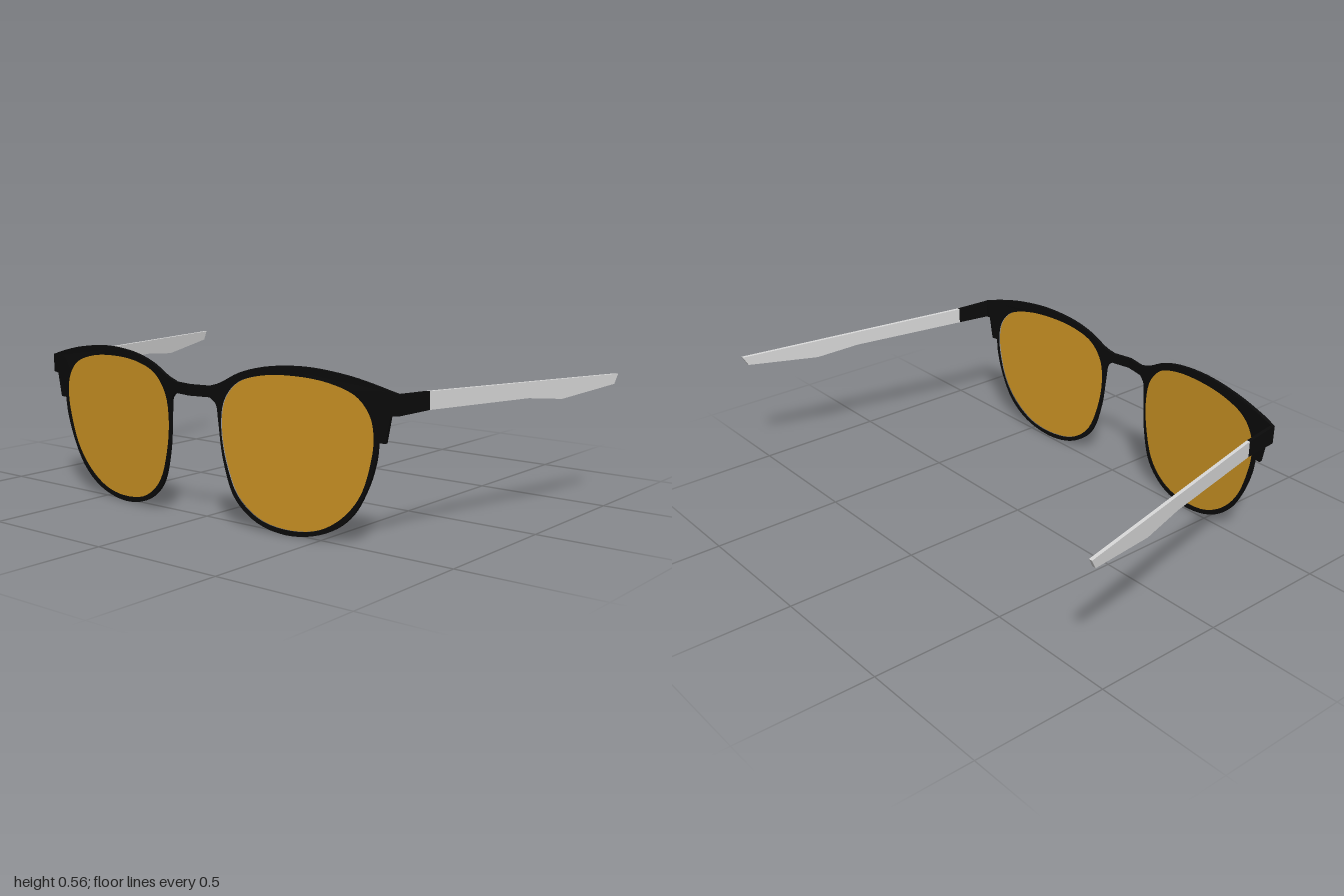
import * as THREE from 'three';
import { toCreasedNormals } from 'three/addons/utils/BufferGeometryUtils.js';

const frameMat = new THREE.MeshStandardMaterial({ color: 0x0b0b0b });
frameMat.name = 'black frame';
const lensMat = new THREE.MeshStandardMaterial({ color: 0xcf9524 });
lensMat.name = 'amber lens';
const templeMat = new THREE.MeshStandardMaterial({ color: 0xdadada });
templeMat.name = 'light grey temple';

// Smooth run of points through a few [x, y] pairs
const spline = (pairs, n, closed = false) =>
  new THREE.CatmullRomCurve3(pairs.map(([x, y]) => new THREE.Vector3(x, y, 0)), closed, 'centripetal')
    .getPoints(n).slice(0, closed ? n : n + 1).map(p => [p.x, p.y]);

// Piecewise linear lookup in a list of [key, value] pairs with rising keys
function lookup(table, k) {
  let i = 1;
  while (i < table.length - 1 && k > table[i][0]) i++;
  const [k0, v0] = table[i - 1], [k1, v1] = table[i];
  return v0 + (v1 - v0) * (k - k0) / (k1 - k0);
}

// Extrudes an outline, then moves each vertex by a rule
function plate(points, hole, depth, rule) {
  const vec = list => list.map(([x, y]) => new THREE.Vector2(x, y));
  const shape = new THREE.Shape(vec(points));
  if (hole) shape.holes.push(new THREE.Path(vec(hole)));
  const geo = new THREE.ExtrudeGeometry(shape, { depth, bevelEnabled: false, steps: 1 });
  const pos = geo.attributes.position;
  for (let i = 0; i < pos.count; i++) {
    pos.setXYZ(i, ...rule(pos.getX(i), pos.getY(i), pos.getZ(i) - depth / 2));
  }
  return toCreasedNormals(geo, 0.6);
}

// Sweep of the front: ridge at the bridge, swept back to the hinges, leaning forward at the top
const sweep = [[0, 0.575], [0.1, 0.555], [0.75, 0.493], [0.79, 0.484]];
const bend = (x, y, d) => [x, y, lookup(sweep, Math.abs(x)) + 0.03 * (y - 0.45) + d];

// Half of the front: brow line, end piece, rim, bridge
const brow = spline([[0.075, 0.474], [0.12, 0.488], [0.2, 0.528], [0.3, 0.555], [0.45, 0.566],
  [0.6, 0.552], [0.7, 0.531], [0.79, 0.506]], 36);
const rim = spline([[0.718, 0.35], [0.71, 0.29], [0.68, 0.2], [0.62, 0.1], [0.53, 0.035], [0.39, 0.004],
  [0.26, 0.028], [0.17, 0.1], [0.125, 0.23], [0.11, 0.36], [0.102, 0.415], [0.08, 0.436]], 60);
const halfFront = [[0, 0.474], ...brow, [0.79, 0.44], [0.762, 0.438], [0.745, 0.35], ...rim, [0, 0.436]];
const lensOutline = spline([[0.704, 0.36], [0.692, 0.28], [0.655, 0.175], [0.59, 0.095], [0.5, 0.04],
  [0.39, 0.022], [0.27, 0.042], [0.185, 0.108], [0.139, 0.22], [0.122, 0.34], [0.137, 0.43],
  [0.19, 0.493], [0.285, 0.525], [0.42, 0.534], [0.55, 0.521], [0.645, 0.487], [0.692, 0.43]], 72, true);

// Side profiles as [z, y]
const hingeProfile = [[0.49, 0.506], [0.345, 0.501], [0.345, 0.442], [0.49, 0.439]];
const templeProfile = [[0.345, 0.501], [-0.58, 0.472], [-0.56, 0.437], [-0.28, 0.412], [-0.11, 0.432], [0.345, 0.442]];
const splay = [[-0.58, 0.991], [0.345, 0.799], [0.49, 0.782]];

export function createModel() {
  const model = new THREE.Group();
  model.name = 'sunglasses';
  const add = (name, geo, mat) => {
    const mesh = new THREE.Mesh(geo, mat);
    mesh.name = name;
    model.add(mesh);
  };
  for (const s of [1, -1]) {
    const side = s > 0 ? 'left' : 'right';
    const mirror = list => list.map(([x, y]) => [s * x, y]);

    // Front frame half and its lens
    add(side + 'FrontFrame', plate(mirror(halfFront), mirror(lensOutline), 0.012, bend), frameMat);
    add(side + 'Lens', plate(mirror(lensOutline), null, 0.004, bend), lensMat);

    // Hinge arm and temple; the right temple sits slightly higher at its tip
    const lift = s > 0 ? 0 : 0.02;
    const arm = profile => plate(profile.map(([z, y]) => [-s * z, y]), null, 0.013, (px, y, d) => {
      const z = -s * px;
      const back = Math.max(0, (0.345 - z) / 0.925);
      return [s * (lookup(splay, z) + d), y + lift * back, z + lift * back];
    });
    add(side + 'HingeArm', arm(hingeProfile), frameMat);
    add(side + 'Temple', arm(templeProfile), templeMat);
  }
  return model;
}
